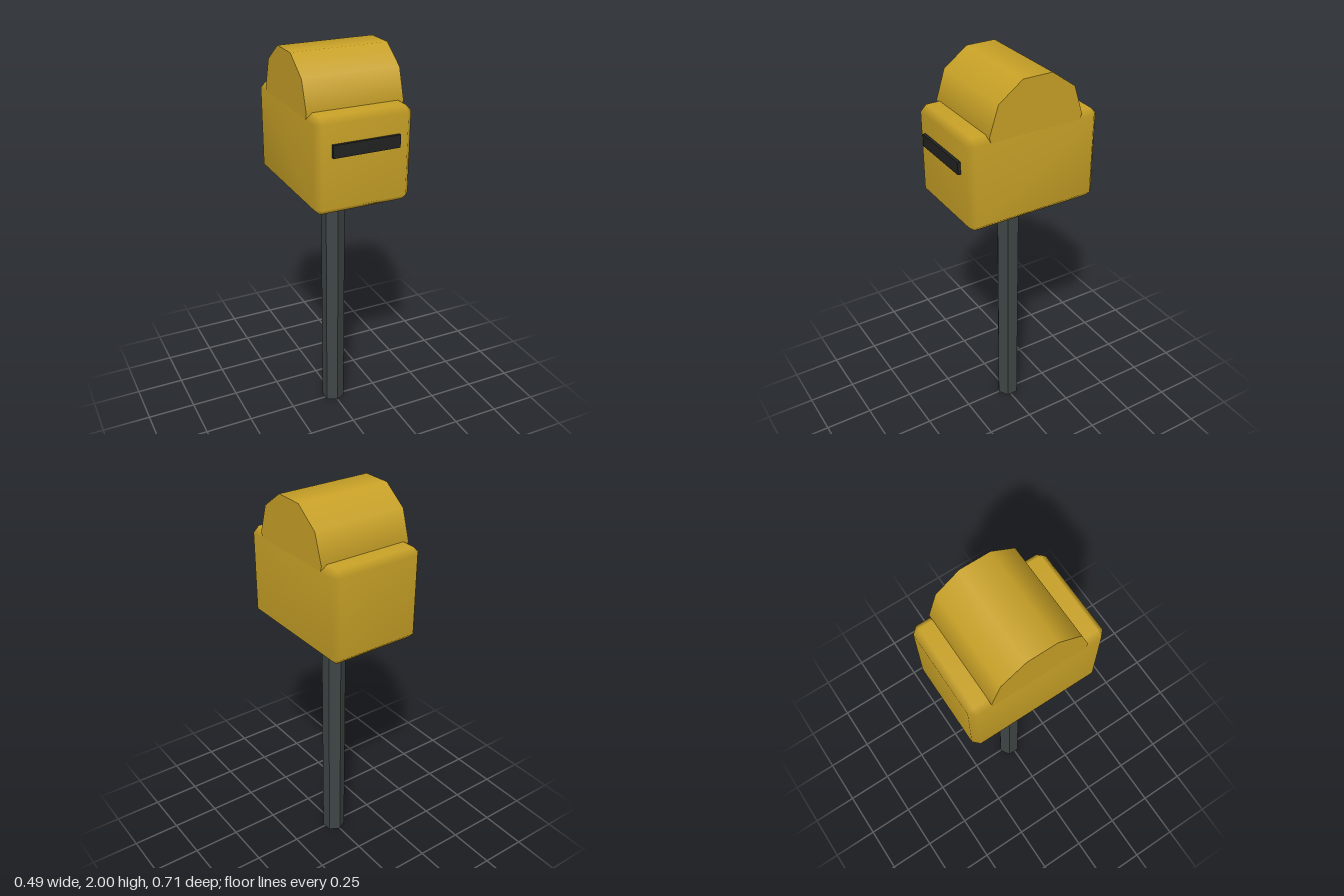
import * as THREE from 'three';
import { mergeVertices } from 'three/addons/utils/BufferGeometryUtils.js';
import { ConvexGeometry } from 'three/addons/geometries/ConvexGeometry.js';

// Box with bevelled edges and normals blended across the bevels
function bevelledBox(w, h, d, bevel) {
  const points = [];
  for (const sx of [-1, 1]) for (const sy of [-1, 1]) for (const sz of [-1, 1]) {
    for (let full = 0; full < 3; full++) {
      const inset = (axis) => (axis === full ? 0 : bevel);
      points.push(new THREE.Vector3(
        sx * (w / 2 - inset(0)), sy * (h / 2 - inset(1)), sz * (d / 2 - inset(2))));
    }
  }
  const geometry = new ConvexGeometry(points);
  geometry.deleteAttribute('normal');
  const merged = mergeVertices(geometry, 1e-4);
  merged.computeVertexNormals();
  return merged;
}

export function createModel() {
  const yellow = new THREE.MeshStandardMaterial({ color: 0xc9a227 });
  yellow.name = 'yellow paint';
  const grey = new THREE.MeshStandardMaterial({ color: 0x3f4645 });
  grey.name = 'dark grey post';
  grey.flatShading = true;
  const black = new THREE.MeshStandardMaterial({ color: 0x212222 });
  black.name = 'black slot';

  const group = new THREE.Group();
  group.name = 'mailbox';
  const add = (name, geometry, material, x, y, z) => {
    const mesh = new THREE.Mesh(geometry, material);
    mesh.name = name;
    mesh.position.set(x, y, z);
    group.add(mesh);
  };

  // Hexagonal post, running up into the box
  add('post', new THREE.CylinderGeometry(0.06, 0.06, 1.34, 6), grey, 0, 0.67, -0.01);

  // Box body
  add('body', bevelledBox(0.49, 0.465, 0.69, 0.03), yellow, 0, 1.5375, -0.01);

  // Ten-sided barrel lying across the top, half sunk in the body
  const barrel = new THREE.CylinderGeometry(0.245, 0.245, 0.488, 10).rotateZ(Math.PI / 2);
  add('barrelTop', barrel, yellow, 0, 1.767, -0.01);

  // Letter slot on the front
  add('slot', new THREE.BoxGeometry(0.338, 0.062, 0.015), black, 0, 1.618, 0.3465);

  return group;
}
